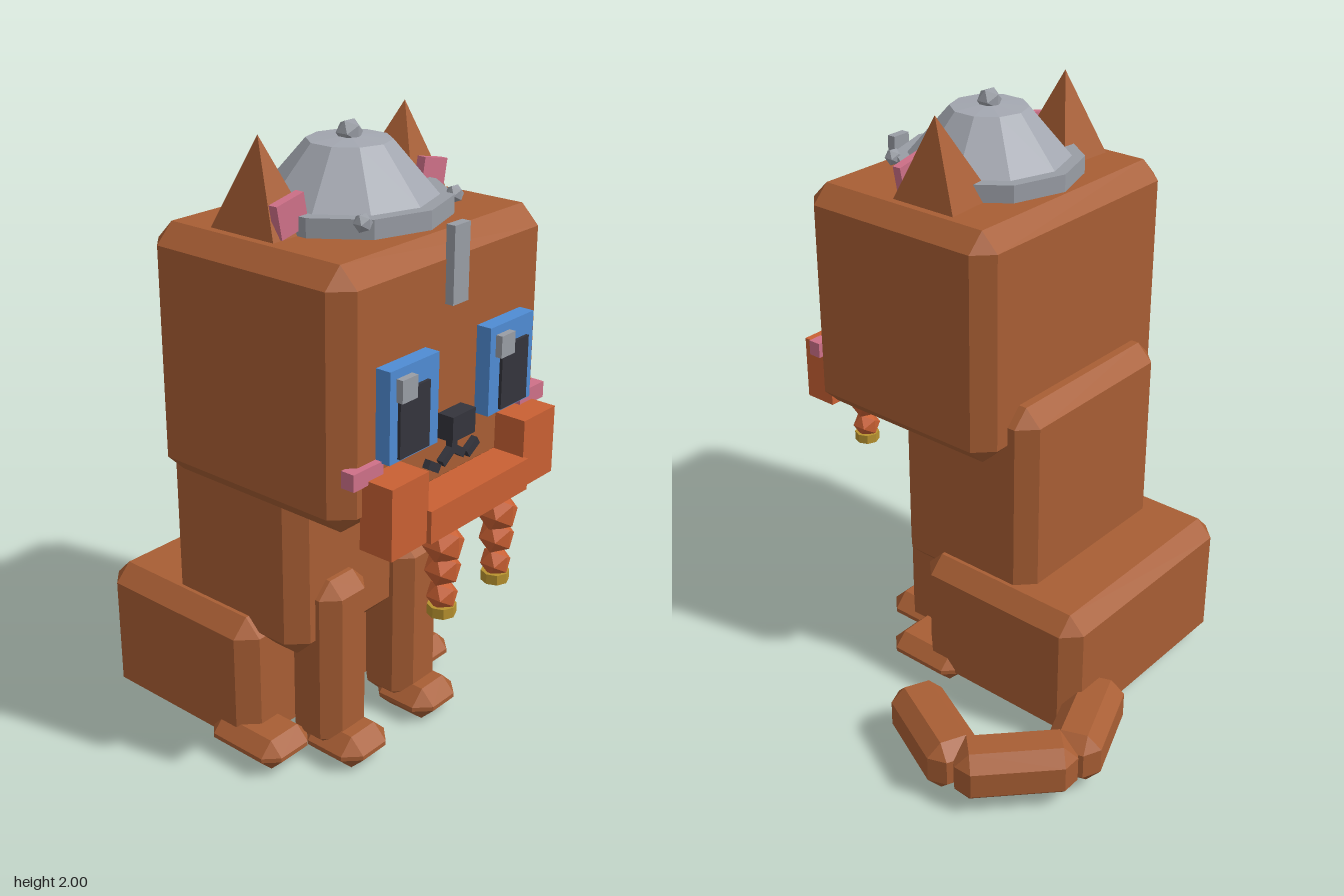
import * as THREE from 'three';
import { ConvexGeometry } from 'three/addons/geometries/ConvexGeometry.js';

const CX = -0.215; // the body's mirror line

function mat(name, color) {
  const m = new THREE.MeshStandardMaterial({ color, flatShading: true });
  m.name = name;
  return m;
}

// Box with every edge cut at 45 degrees
function chamferBox(w, h, d, c) {
  const pts = [];
  for (const x of [-1, 1]) for (const y of [-1, 1]) for (const z of [-1, 1]) {
    const a = w / 2, b = h / 2, e = d / 2;
    pts.push(
      new THREE.Vector3(x * a, y * (b - c), z * (e - c)),
      new THREE.Vector3(x * (a - c), y * b, z * (e - c)),
      new THREE.Vector3(x * (a - c), y * (b - c), z * e));
  }
  return new ConvexGeometry(pts);
}

export function createModel() {
  const model = new THREE.Group();
  model.name = 'cat';
  const fur = mat('fur brown', 0xa85e34);
  const beardMat = mat('beard orange', 0xc96033);
  const steel = mat('helmet steel', 0xa3a7b0);
  const trim = mat('trim grey', 0x999da5);
  const pink = mat('pink', 0xce7088);
  const blue = mat('eye blue', 0x4f8cd4);
  const dark = mat('dark', 0x34343c);
  const gold = mat('gold', 0xb8922f);

  const add = (name, geo, material, x, y, z) => {
    const m = new THREE.Mesh(geo, material);
    m.name = name;
    m.position.set(x, y, z);
    model.add(m);
    return m;
  };
  // Parts given by their limits on each axis
  const span = (name, material, [x0, x1], [y0, y1], [z0, z1], c = 0) => {
    const w = x1 - x0, h = y1 - y0, d = z1 - z0;
    const geo = c ? chamferBox(w, h, d, c) : new THREE.BoxGeometry(w, h, d);
    return add(name, geo, material, (x0 + x1) / 2, (y0 + y1) / 2, (z0 + z1) / 2);
  };

  // Main body
  span('head', fur, [-0.685, 0.255], [0.95, 1.73], [-0.2, 0.56], 0.06);
  span('torso', fur, [-0.575, 0.145], [0.39, 1.13], [-0.285, 0.28], 0.057);
  span('hips', fur, [-0.645, 0.215], [0.01, 0.49], [-0.53, 0.13], 0.057);

  // Tail: three links lying in a curl
  const links = [
    [0.02, -0.51, 0.375, -0.648],
    [0.345, -0.65, 0.624, -0.379],
    [0.617, -0.4, 0.454, -0.047]];
  for (const [x0, z0, x1, z1] of links) {
    const dx = x1 - x0, dz = z1 - z0;
    const link = add('tailLink', chamferBox(0.18, 0.18, Math.hypot(dx, dz), 0.046), fur,
      (x0 + x1) / 2, 0.12, (z0 + z1) / 2);
    link.rotation.y = Math.atan2(dx, dz);
  }

  // Paired parts; s = 1 is the model's left
  for (const s of [-1, 1]) {
    const X = (o) => CX + s * o;
    const side = s > 0 ? 'left' : 'right';

    // Legs and paws
    add(side + 'FrontLeg', chamferBox(0.205, 0.6, 0.205, 0.05), fur, X(0.177), 0.34, 0.243);
    add(side + 'FrontPaw', chamferBox(0.21, 0.115, 0.24, 0.05), fur, X(0.178), 0.058, 0.315);
    add(side + 'HindPaw', chamferBox(0.21, 0.105, 0.3, 0.045), fur, X(0.36), 0.07, 0.11);

    // Ears
    const ear = [[0.17, 1.71, 0], [0.39, 1.71, -0.015], [0.39, 1.71, 0.245], [0.215, 1.71, 0.245], [0.318, 2, 0.12]];
    add(side + 'Ear', new ConvexGeometry(ear.map(([x, y, z]) => new THREE.Vector3(X(x), y, z))), fur, 0, 0, 0);
    add(side + 'InnerEar', new THREE.BoxGeometry(0.11, 0.1, 0.03), pink, X(0.312), 1.792, 0.228)
      .rotation.z = -s * 0.2;

    // Eyes
    const eye = X(0.227);
    add(side + 'Eye', new THREE.BoxGeometry(0.213, 0.275, 0.06), blue, eye, 1.298, 0.58);
    add(side + 'Pupil', new THREE.BoxGeometry(0.13, 0.2, 0.04), dark, X(0.235), 1.27, 0.6);
    add(side + 'EyeShine', new THREE.BoxGeometry(0.066, 0.068, 0.03), trim, eye - 0.047, 1.375, 0.617);

    // Cheeks and mouth
    add(side + 'Cheek', new THREE.BoxGeometry(0.125, 0.052, 0.045), pink, X(0.388), 1.14, 0.56);
    add(side + 'InnerLip', new THREE.BoxGeometry(0.058, 0.025, 0.03), dark, X(0.027), 1.074, 0.567)
      .rotation.z = -s * 0.6;
    add(side + 'OuterLip', new THREE.BoxGeometry(0.058, 0.027, 0.03), dark, X(0.093), 1.064, 0.567)
      .rotation.z = s * 0.55;

    // Beard side with its braid
    add(side + 'Beard', new THREE.BoxGeometry(0.16, 0.22, 0.115), beardMat, X(0.31), 1.016, 0.61);
    const braidX = X(0.133);
    for (const [y, r] of [[0.86, 0.066], [0.778, 0.058], [0.69, 0.05]])
      add(side + 'BraidBead', new THREE.IcosahedronGeometry(r, 0), beardMat, braidX, y, 0.65);
    add(side + 'BraidRing', new THREE.CylinderGeometry(0.044, 0.044, 0.033, 8), gold, braidX, 0.643, 0.65);

    // Helmet rivets
    add(side + 'Rivet', new THREE.IcosahedronGeometry(0.029, 0), trim, X(0.205), 1.78, 0.402);
  }

  // Middle of the face
  span('beardMiddle', beardMat, [-0.45, 0.02], [0.905, 1.007], [0.55, 0.683]);
  span('nose', dark, [-0.27, -0.163], [1.137, 1.215], [0.55, 0.615]);
  span('mouthLine', dark, [-0.228, -0.202], [1.075, 1.14], [0.55, 0.582]);

  // Helmet
  add('helmetBrim', new THREE.CylinderGeometry(0.305, 0.305, 0.06, 10), trim, CX, 1.757, 0.175);
  const dome = [[0.265, 1.785], [0.127, 1.945], [0, 1.955]].map(([r, y]) => new THREE.Vector2(r, y));
  add('helmetDome', new THREE.LatheGeometry(dome, 10), steel, CX, 0, 0.175);
  add('helmetKnob', new THREE.IcosahedronGeometry(0.041, 0), trim, CX, 1.963, 0.175);
  span('noseGuard', trim, [-0.25, -0.18], [1.54, 1.77], [0.558, 0.588]);

  return model;
}
